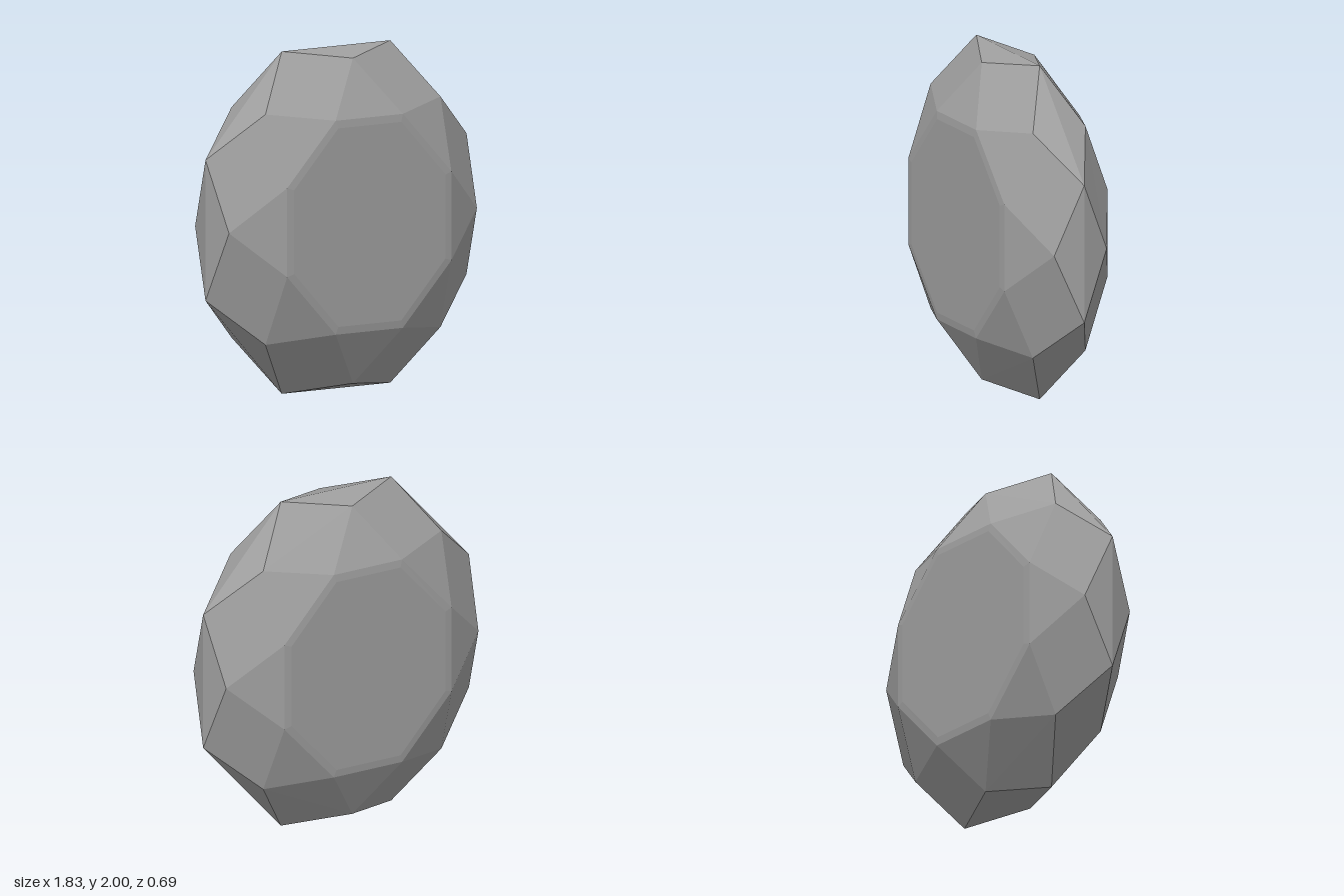
import * as THREE from 'three';

// Eight-point ring, counter-clockwise, mirrored from two corner points
function ring([ax, ay], [bx, by], z) {
  return [[ax, -ay], [ax, ay], [bx, by], [-bx, by], [-ax, ay], [-ax, -ay], [-bx, -by], [bx, -by]]
    .map(([x, y]) => new THREE.Vector3(x, y, z));
}

// Eight points on the axes and diagonals, one above each girdle edge
function midRing(rx, ry, dx, dy, z) {
  return [[rx, 0], [dx, dy], [0, ry], [-dx, dy], [-rx, 0], [-dx, -dy], [0, -ry], [dx, -dy]]
    .map(([x, y]) => new THREE.Vector3(x, y, z));
}

// Mesh from triangles given for the +z side; side = -1 mirrors it to the back
function facetMesh(name, triangles, side, material) {
  const points = [];
  for (const [a, b, c] of triangles) {
    for (const p of side > 0 ? [a, b, c] : [a, c, b]) {
      points.push(new THREE.Vector3(p.x, p.y, p.z * side));
    }
  }
  const geometry = new THREE.BufferGeometry().setFromPoints(points);
  geometry.computeVertexNormals();
  const mesh = new THREE.Mesh(geometry, material);
  mesh.name = name;
  return mesh;
}

export function createModel() {
  const material = new THREE.MeshStandardMaterial({ color: 0x9e9e9e, flatShading: true });
  const girdle = ring([0.914, 0.411], [0.38, 1], 0);
  const middle = midRing(0.868, 0.95, 0.613, 0.673, 0.173);
  const shoulder = ring([0.575, 0.26], [0.235, 0.625], 0.34);
  const table = ring([0.53, 0.245], [0.22, 0.58], 0.346);
  const centre = new THREE.Vector3(0, 0, 0.346);

  const girdleFacets = [], kiteFacets = [], starFacets = [], bevel = [], tableFace = [];
  for (let i = 0; i < 8; i++) {
    const j = (i + 1) % 8;
    girdleFacets.push([girdle[i], girdle[j], middle[i]]);
    kiteFacets.push([girdle[j], middle[j], middle[i]], [middle[i], middle[j], shoulder[j]]);
    starFacets.push([middle[i], shoulder[j], shoulder[i]]);
    bevel.push([shoulder[i], shoulder[j], table[j]], [shoulder[i], table[j], table[i]]);
    tableFace.push([table[i], table[j], centre]);
  }

  // Front and back halves of the cut stone
  const gem = new THREE.Group();
  gem.name = 'gem';
  for (const side of [1, -1]) {
    const half = new THREE.Group();
    half.name = side > 0 ? 'frontHalf' : 'backHalf';
    half.add(
      facetMesh('girdleFacets', girdleFacets, side, material),
      facetMesh('kiteFacets', kiteFacets, side, material),
      facetMesh('starFacets', starFacets, side, material),
      facetMesh('tableBevel', bevel, side, material),
      facetMesh('table', tableFace, side, material),
    );
    half.position.y = 1;
    gem.add(half);
  }
  return gem;
}
